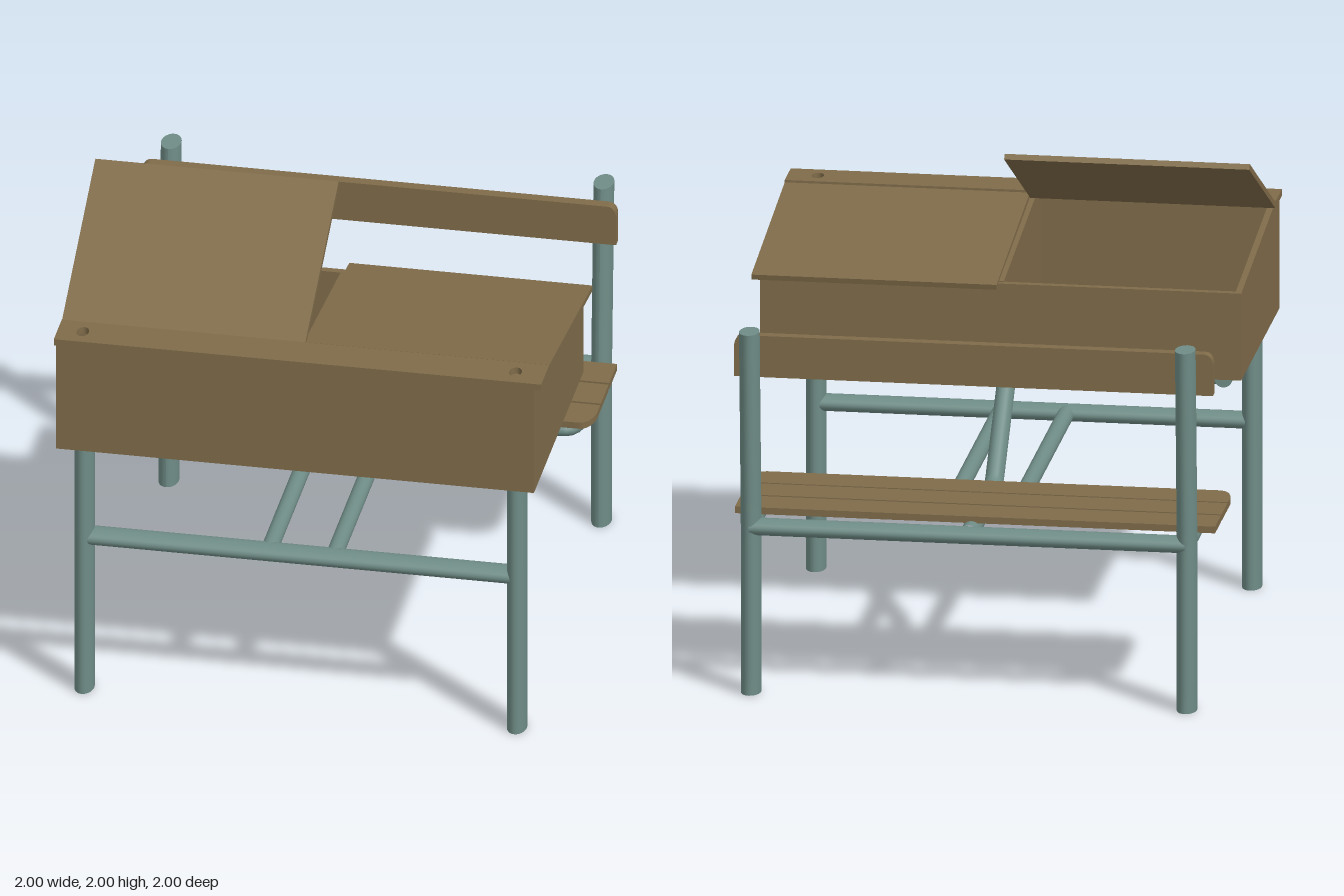
import * as THREE from 'three';

export function createModel() {
  const wood = new THREE.MeshStandardMaterial({ color: 0x7f6b49 });
  wood.name = 'brown wood';
  const steel = new THREE.MeshStandardMaterial({ color: 0x6f8c86 });
  steel.name = 'grey green steel';

  const model = new THREE.Group();
  model.name = 'schoolDesk';
  const group = (name) => {
    const g = new THREE.Group();
    g.name = name;
    model.add(g);
    return g;
  };
  const add = (parent, name, geometry, material) => {
    const m = new THREE.Mesh(geometry, material);
    m.name = name;
    parent.add(m);
    return m;
  };
  // Box given by its limits on each axis
  const block = (parent, name, x0, x1, y0, y1, z0, z1) => {
    const g = new THREE.BoxGeometry(x1 - x0, y1 - y0, z1 - z0);
    g.translate((x0 + x1) / 2, (y0 + y1) / 2, (z0 + z1) / 2);
    return add(parent, name, g, wood);
  };
  // Panel with a (z, y) outline, running from x0 to x1
  const panel = (parent, name, points, x0, x1) => {
    const s = new THREE.Shape(points.map(([z, y]) => new THREE.Vector2(z, y)));
    const g = new THREE.ExtrudeGeometry(s, { depth: x1 - x0, bevelEnabled: false });
    g.rotateY(-Math.PI / 2);
    g.translate(x1, 0, 0);
    return add(parent, name, g, wood);
  };

  // Steel frame: round tubes stretched along z
  const STRETCH = 1.6;
  const frame = group('frame');
  frame.scale.z = STRETCH;
  const V = (x, y, z) => new THREE.Vector3(x, y, z / STRETCH);
  const bar = (name, a, b, r) => {
    const m = add(frame, name, new THREE.CylinderGeometry(r, r, a.distanceTo(b), 24), steel);
    m.position.copy(a).add(b).multiplyScalar(0.5);
    m.quaternion.setFromUnitVectors(new THREE.Vector3(0, 1, 0), b.clone().sub(a).normalize());
    return m;
  };
  // Bent tube with rounded corners
  const bent = (name, pts, r, bend) => {
    const path = new THREE.CurvePath();
    let from = pts[0];
    for (let i = 1; i < pts.length - 1; i++) {
      const p = pts[i];
      const a = p.clone().add(pts[i - 1].clone().sub(p).setLength(bend));
      const b = p.clone().add(pts[i + 1].clone().sub(p).setLength(bend));
      path.add(new THREE.LineCurve3(from, a));
      path.add(new THREE.QuadraticBezierCurve3(a, p, b));
      from = b;
    }
    path.add(new THREE.LineCurve3(from, pts[pts.length - 1]));
    add(frame, name, new THREE.TubeGeometry(path, 96, r, 16), steel);
  };

  const legX = [-0.895, 0.88];
  const railY = 0.698, railR = 0.034, topY = 1.102;
  legX.forEach((x) => {
    const side = Math.sign(x);
    bar('frontLeg', V(x, 0, 0.89), V(x, 1.166, 0.89), 0.04);
    bar('deskSideRail', V(x, topY, 0.89), V(x, topY, 0.1), 0.037);

    // Back leg: upright to the seat, then leaning back
    const leg = new THREE.CylinderGeometry(0.041, 0.041, 1.525, 24, 20);
    leg.translate(0, 1.525 / 2, 0);
    const p = leg.attributes.position;
    for (let i = 0; i < p.count; i++) {
      const lean = Math.max(0, p.getY(i) - 0.72) * 0.06;
      p.setZ(i, p.getZ(i) - lean / STRETCH);
    }
    leg.computeVertexNormals();
    add(frame, 'backLeg', leg, steel).position.copy(V(x, 0, -0.885));

    // Seat support: forward rail, out under the seat, back to the leg
    bent('seatSupport', [
      V(-0.0075 + side * 0.133, railY, 0.89),
      V(-0.0075 + side * 0.133, railY, -0.37),
      V(x, railY, -0.37),
      V(x, railY, -0.885),
    ], railR, 0.06);
  });
  bar('frontRail', V(legX[0], railY, 0.89), V(legX[1], railY, 0.89), railR);
  bar('backRail', V(legX[0], railY, -0.9), V(legX[1], railY, -0.9), railR);
  bar('deskCrossRail', V(legX[0], topY, 0.16), V(legX[1], topY, 0.16), 0.037);
  bent('centreStrut', [
    V(-0.0075, topY, 0.19), V(-0.0075, railY, -0.22), V(-0.0075, railY, -0.885),
  ], 0.038, 0.05);

  // Desk box, open above
  const box = group('deskBox');
  const sideOutline = [[1, 1.14], [-0.045, 1.14], [-0.045, 1.505], [0.83, 1.612], [1, 1.612]];
  panel(box, 'rightSide', sideOutline, -0.99, -0.965);
  panel(box, 'leftSide', sideOutline, 0.945, 0.97);
  panel(box, 'divider', [[0.975, 1.16], [-0.02, 1.16], [-0.02, 1.508], [0.83, 1.61], [0.975, 1.61]], -0.02, 0.005);
  block(box, 'floor', -0.965, 0.945, 1.14, 1.16, -0.045, 1);
  block(box, 'frontWall', -0.965, 0.945, 1.16, 1.612, 0.975, 1);
  block(box, 'backWall', -0.965, 0.945, 1.16, 1.505, -0.045, -0.015);

  // Fixed top strip with an inkwell hole at each end
  const strip = new THREE.Shape([[-1, -1], [1, -1], [1, -0.832], [-1, -0.832]]
    .map(([x, y]) => new THREE.Vector2(x, y)));
  legX.forEach((x) => {
    const hole = new THREE.Path();
    hole.absellipse(x - 0.002, -0.915, 0.025, 0.038, 0, Math.PI * 2, true);
    strip.holes.push(hole);
  });
  const stripGeo = new THREE.ExtrudeGeometry(strip, { depth: 0.028, bevelEnabled: false, curveSegments: 24 });
  stripGeo.rotateX(-Math.PI / 2);
  stripGeo.translate(0, 1.612, 0);
  add(box, 'topStrip', stripGeo, wood);

  // Lids: one closed, one raised
  panel(box, 'closedLid', [[0.82, 1.634], [0.82, 1.613], [-0.085, 1.49], [-0.09, 1.512]], 0, 0.998);
  panel(box, 'raisedLid', [[0.832, 1.632], [0.82, 1.612], [0.105, 1.982], [0.125, 2]], -1, -0.002);

  // Seat slats; the foremost has rounded front corners
  const seat = group('seat');
  block(seat, 'rearSlat', -1, 0.955, 0.727, 0.755, -0.825, -0.662);
  block(seat, 'middleSlat', -1, 0.955, 0.727, 0.755, -0.648, -0.485);
  const slat = new THREE.Shape();
  slat.moveTo(-1, 0.472);
  slat.lineTo(-1, 0.4);
  slat.quadraticCurveTo(-0.985, 0.31, -0.94, 0.31);
  slat.lineTo(0.895, 0.31);
  slat.quadraticCurveTo(0.94, 0.31, 0.955, 0.4);
  slat.lineTo(0.955, 0.472);
  const slatGeo = new THREE.ExtrudeGeometry(slat, { depth: 0.028, bevelEnabled: false });
  slatGeo.rotateX(-Math.PI / 2);
  // shape y becomes -z
  slatGeo.translate(0, 0.727, 0);
  add(seat, 'frontSlat', slatGeo, wood);

  // Backrest board with rounded upper corners
  const rest = new THREE.Shape();
  rest.moveTo(-0.995, 1.31);
  rest.lineTo(0.955, 1.31);
  rest.lineTo(0.955, 1.44);
  rest.quadraticCurveTo(0.95, 1.483, 0.915, 1.483);
  rest.lineTo(-0.955, 1.483);
  rest.quadraticCurveTo(-0.99, 1.483, -0.995, 1.44);
  const restGeo = new THREE.ExtrudeGeometry(rest, { depth: 0.045, bevelEnabled: false });
  restGeo.translate(0, 0, -0.85);
  add(model, 'backrest', restGeo, wood);

  return model;
}
